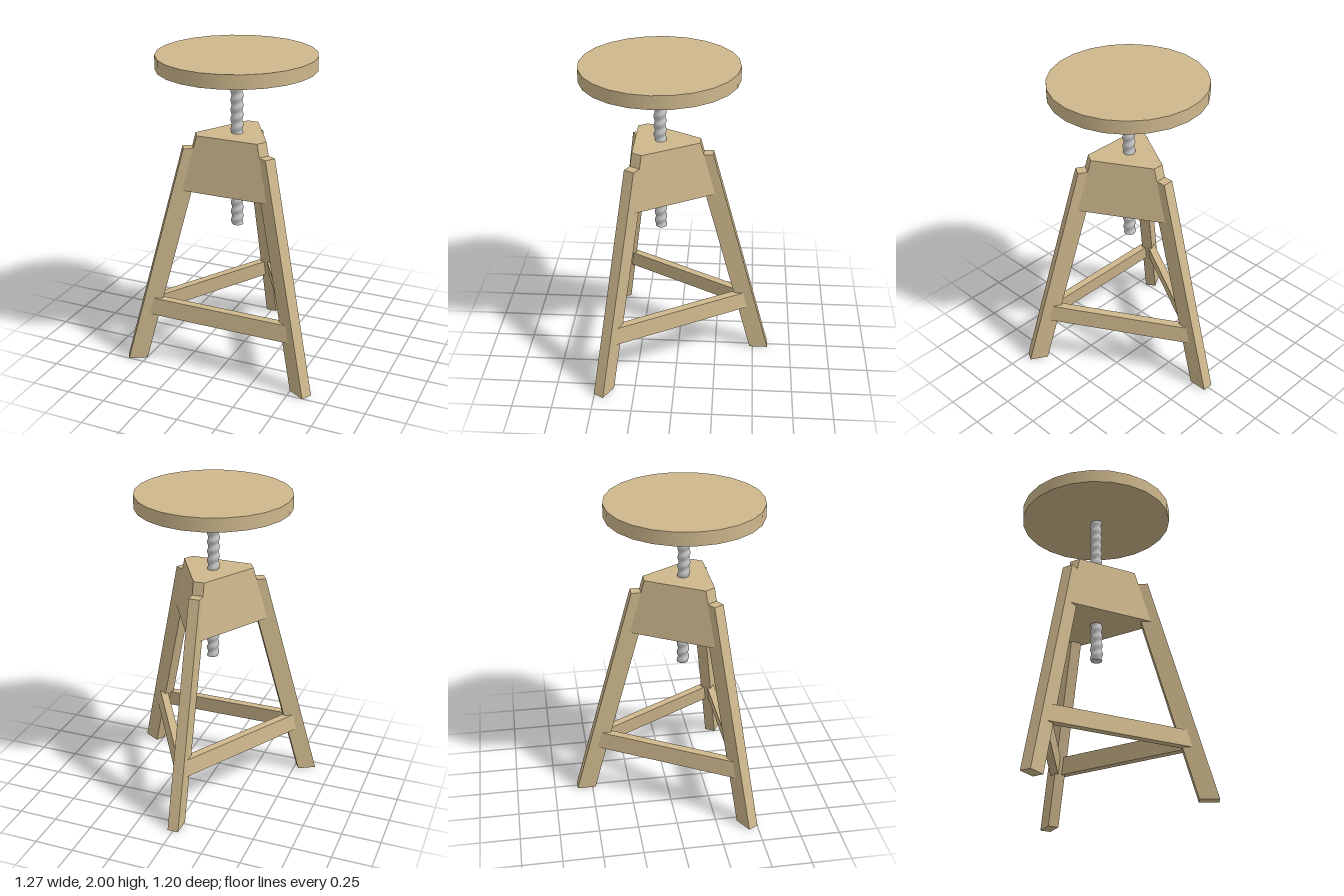
import * as THREE from 'three';

const wood = new THREE.MeshStandardMaterial({ color: 0xcdb78c });
wood.name = 'pale wood';
const steel = new THREE.MeshStandardMaterial({ color: 0xc4c4c4 });
steel.name = 'steel';

const HALF = 0.035;                            // half the width of a leg
const legRadius = (y) => 0.655 - 0.269 * y;    // middle of a leg, measured from the axis
const THIRD = (Math.PI * 2) / 3;

// Solid between two horizontal outlines; outline(y) gives [x, z] corners turning from +x to +z.
function loft(outline, y0, y1) {
  const low = outline(y0).map(([x, z]) => [x, y0, z]);
  const high = outline(y1).map(([x, z]) => [x, y1, z]);
  const n = low.length;
  const pos = [];
  const tri = (a, b, c) => pos.push(...a, ...b, ...c);
  for (let i = 0; i < n; i++) {
    const j = (i + 1) % n;
    tri(low[i], high[i], low[j]);
    tri(high[i], high[j], low[j]);
    if (i > 0 && j > 0) {
      tri(high[0], high[j], high[i]);
      tri(low[0], low[i], low[j]);
    }
  }
  const geometry = new THREE.BufferGeometry();
  geometry.setAttribute('position', new THREE.Float32BufferAttribute(pos, 3));
  geometry.computeVertexNormals();
  return geometry;
}

// Rod whose radius follows a spiral ridge
function threadedRod(y0, y1, rIn, rOut, pitch) {
  const length = y1 - y0;
  const rows = Math.round((length / pitch) * 6);
  const geometry = new THREE.CylinderGeometry(1, 1, length, 18, rows);
  geometry.translate(0, (y0 + y1) / 2, 0);
  const p = geometry.attributes.position;
  for (let i = 0; i < p.count; i++) {
    const x = p.getX(i), z = p.getZ(i);
    if (Math.hypot(x, z) < 0.5) continue;
    const turn = p.getY(i) / pitch + Math.atan2(z, x) / (2 * Math.PI);
    const ridge = Math.abs((turn - Math.floor(turn)) * 2 - 1);
    const r = rIn + (rOut - rIn) * ridge;
    p.setX(i, x * r);
    p.setZ(i, z * r);
  }
  geometry.computeVertexNormals();
  return geometry;
}

export function createModel() {
  const stool = new THREE.Group();
  stool.name = 'stool';
  stool.position.z = 0.115;

  const add = (name, geometry, material, turn = 0) => {
    const mesh = new THREE.Mesh(geometry, material);
    mesh.name = name;
    mesh.rotation.y = turn;
    stool.add(mesh);
  };

  // Round seat
  const seat = new THREE.CylinderGeometry(0.485, 0.485, 0.085, 24, 1, false, -0.03);
  seat.translate(0, 1.9575, 0);
  add('seat', seat, wood);

  // Height screw
  add('screw', threadedRod(0.91, 1.92, 0.031, 0.041, 0.06), steel);

  // Tapered block: a triangle with a flat at each leg
  const blockOutline = (y) => [0, 1, 2].flatMap((k) => {
    const a = Math.PI / 6 + k * THIRD, c = Math.cos(a), s = Math.sin(a), r = legRadius(y);
    return [-HALF, HALF].map((w) => [r * c - w * s, r * s + w * c]);
  });
  add('block', loft(blockOutline, 1.16, 1.51), wood);

  // Splayed legs
  const legOutline = (y) => {
    const out = legRadius(y) + 0.06, inn = legRadius(y) - 0.06;
    return [[out, -HALF], [out, HALF], [inn, HALF], [inn, -HALF]];
  };
  const leg = loft(legOutline, 0, 1.43);

  // Stretchers joining neighbouring legs
  const stretcherOutline = (y) => {
    const r = legRadius(y);
    const h = r * Math.cos(Math.PI / 6) - HALF * 0.5;
    const z = r * 0.5 + HALF * Math.cos(Math.PI / 6);
    return [[h, z - 0.05], [h, z], [-h, z], [-h, z - 0.05]];
  };
  const stretcher = loft(stretcherOutline, 0.32, 0.43);

  ['left', 'right', 'back'].forEach((side, k) => {
    add(side + 'Leg', leg, wood, -(Math.PI / 6 + k * THIRD));
  });
  ['front', 'backRight', 'backLeft'].forEach((side, k) => {
    add(side + 'Stretcher', stretcher, wood, -k * THIRD);
  });

  const model = new THREE.Group();
  model.name = 'screwStool';
  model.add(stool);
  return model;
}
